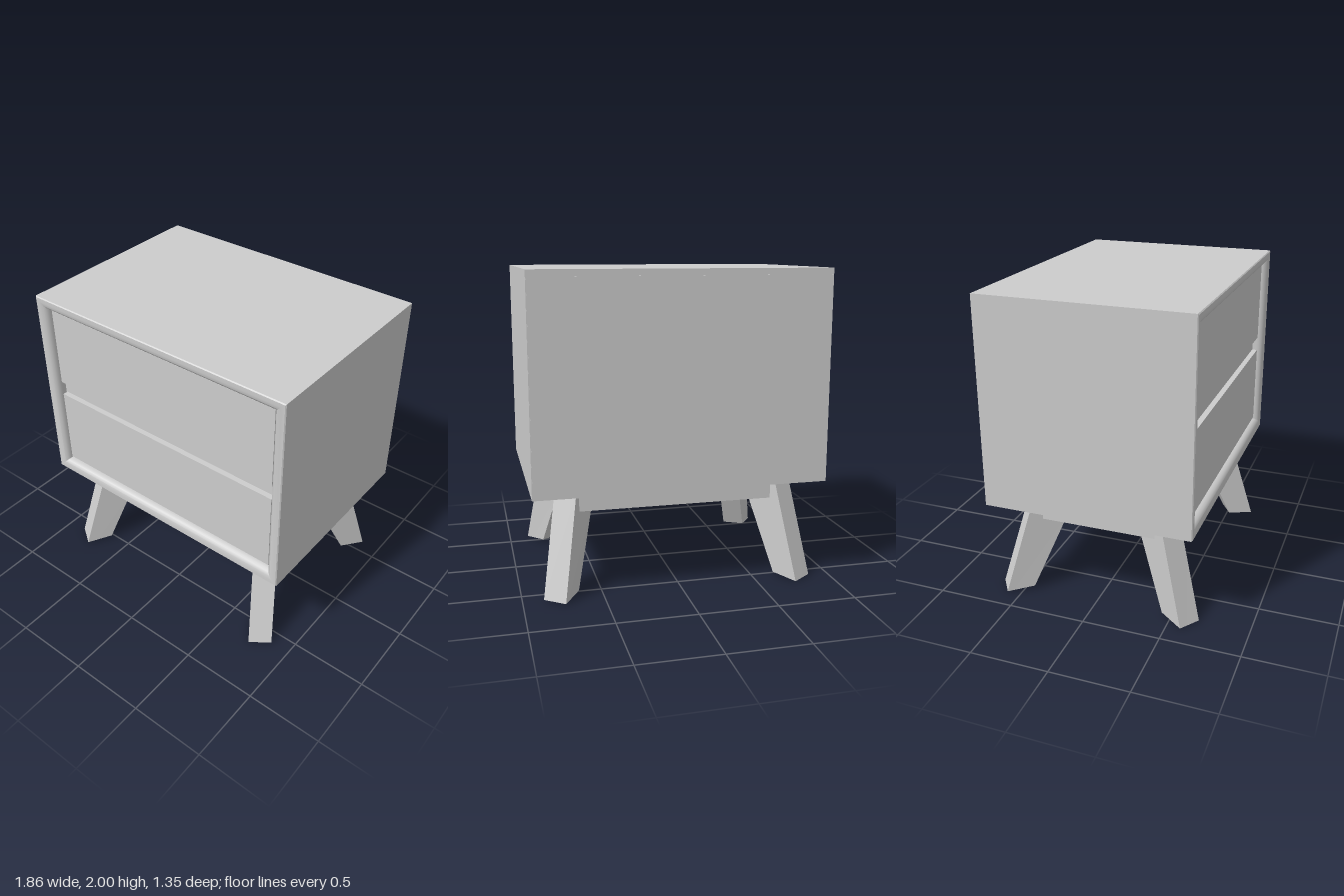
import * as THREE from 'three';
import { toCreasedNormals } from 'three/addons/utils/BufferGeometryUtils.js';

// Skin a list of four-cornered rings (counter-clockwise seen from the end they
// travel towards), closing both ends.
function loft(rings) {
  const pos = [], index = [];
  rings.forEach(r => r.forEach(p => pos.push(...p)));
  for (let i = 0; i < rings.length - 1; i++) {
    for (let j = 0; j < 4; j++) {
      const a = i * 4 + j, b = i * 4 + (j + 1) % 4;
      index.push(a, b, b + 4, a, b + 4, a + 4);
    }
  }
  const e = (rings.length - 1) * 4;
  index.push(0, 2, 1, 0, 3, 2, e, e + 1, e + 2, e, e + 2, e + 3);
  const g = new THREE.BufferGeometry();
  g.setAttribute('position', new THREE.Float32BufferAttribute(pos, 3));
  g.setIndex(index);
  return toCreasedNormals(g, 0.6);
}

export function createModel() {
  const model = new THREE.Group();
  const grey = new THREE.MeshStandardMaterial({ color: 0xcccccc });
  grey.name = 'plain grey';

  const add = (name, geometry, parent = model) => {
    const mesh = new THREE.Mesh(geometry, grey);
    mesh.name = name;
    parent.add(mesh);
    return mesh;
  };
  // Box given by its limits
  const box = (name, x0, x1, y0, y1, z0, z1, parent) =>
    add(name, new THREE.BoxGeometry(x1 - x0, y1 - y0, z1 - z0), parent)
      .position.set((x0 + x1) / 2, (y0 + y1) / 2, (z0 + z1) / 2);

  // Cabinet shell with a rounded front rim: [inset, z] from back to recess
  const profile = [
    [0, -0.667], [0, 0.664], [0.006, 0.67], [0.03, 0.67], [0.052, 0.665],
    [0.068, 0.654], [0.077, 0.638], [0.08, 0.62], [0.08, 0.57],
  ];
  add('cabinet', loft(profile.map(([d, z]) => {
    const x = 0.93 - d, b = 0.66 + d, t = 2 - d;
    return [[-x, b, z], [x, b, z], [x, t, z], [-x, t, z]];
  })));
  box('backPanel', -0.925, 0.925, 0.7, 1.96, -0.67, -0.65);

  // Two drawers with a recessed rail between them
  box('upperDrawer', -0.842, 0.842, 1.38, 1.91, 0.56, 0.63);
  box('lowerDrawer', -0.842, 0.842, 0.755, 1.285, 0.56, 0.63);
  box('drawerRail', -0.852, 0.852, 1.24, 1.43, 0.55, 0.595);

  // Apron under the cabinet
  const apron = new THREE.Group();
  apron.name = 'apron';
  model.add(apron);
  for (const s of [-1, 1]) {
    const z = s * 0.45, x = s * 0.705;
    box(s > 0 ? 'frontApron' : 'backApron', -0.63, 0.63, 0.515, 0.665, z - 0.03, z + 0.03, apron);
    box(s > 0 ? 'leftApron' : 'rightApron', x - 0.03, x + 0.03, 0.515, 0.665, -0.4, 0.4, apron);
  }

  // Splayed, tapering plank legs set across the corners
  const foot = [[0.87, 0.004, 0.59], [0.77, 0.02, 0.44], [0.645, 0.016, 0.525], [0.745, 0, 0.675]];
  const top = [[0.768, 0.665, 0.42], [0.611, 0.665, 0.188], [0.486, 0.665, 0.268], [0.643, 0.665, 0.5]];
  for (const sx of [-1, 1]) for (const sz of [-1, 1]) {
    const place = ring => {
      const r = ring.map(([x, y, z]) => [x * sx, y, z * sz]);
      return sx * sz > 0 ? r : r.reverse();
    };
    add((sz > 0 ? 'front' : 'back') + (sx > 0 ? 'Left' : 'Right') + 'Leg',
      loft([place(foot), place(top)]));
  }
  return model;
}
